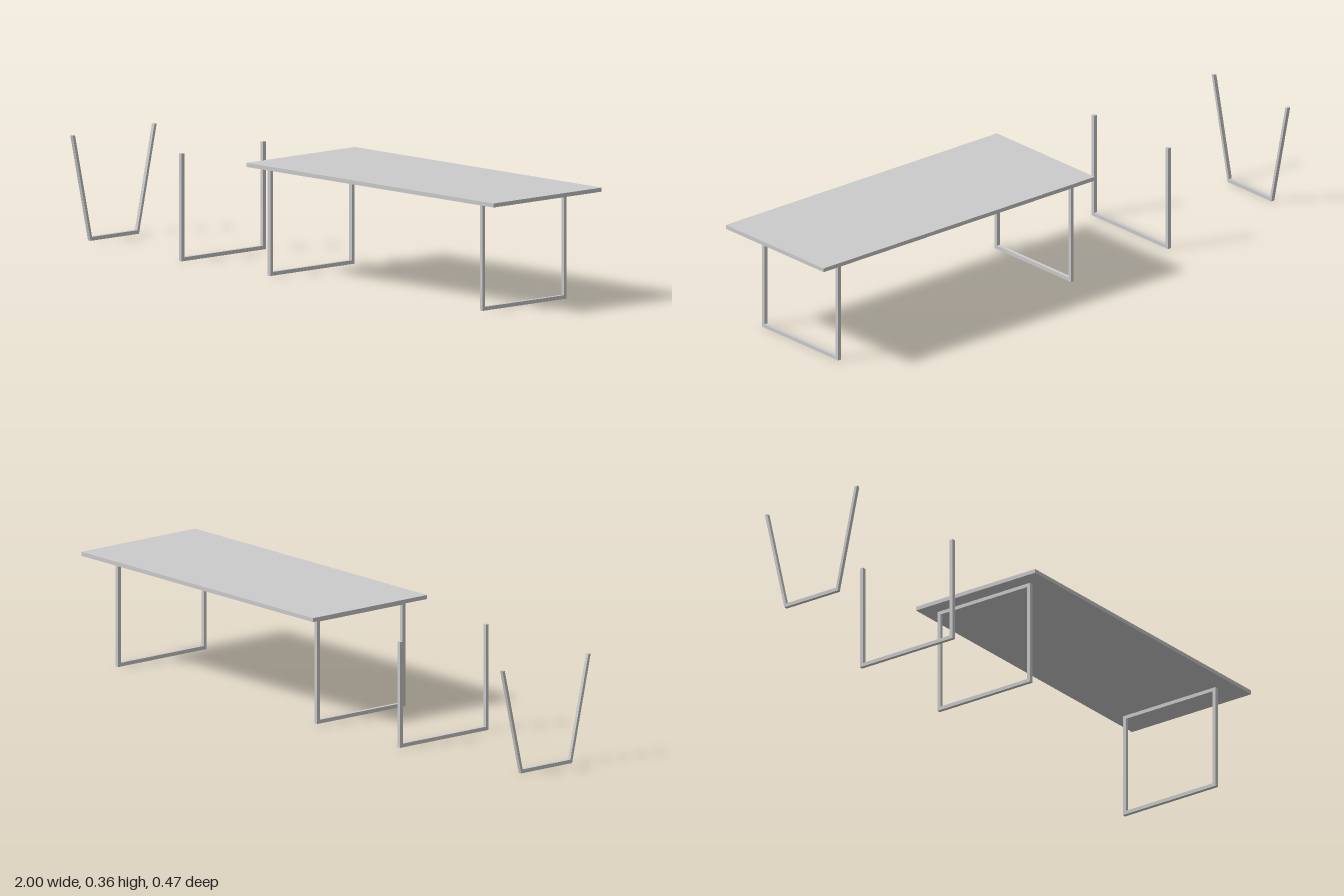
import * as THREE from 'three';

const BAR = 0.012;      // square tube size
const HEIGHT = 0.344;   // leg frame height
const HALF = 0.183;     // half of the frame depth

const material = new THREE.MeshStandardMaterial({ color: 0xcccccc, flatShading: true });

const toPoints = (pairs) => pairs.map(([a, b]) => new THREE.Vector2(a, b));

// Extrudes a symmetric z-y outline along x, centred on the given x
function legFrame(name, x, outline, hole) {
  const shape = new THREE.Shape(toPoints(outline));
  if (hole) shape.holes.push(new THREE.Path(toPoints(hole)));
  const geometry = new THREE.ExtrudeGeometry(shape, { depth: BAR, bevelEnabled: false });
  geometry.translate(0, 0, -BAR / 2).rotateY(Math.PI / 2);
  const mesh = new THREE.Mesh(geometry, material);
  mesh.name = name;
  mesh.position.x = x;
  return mesh;
}

const rectangle = (half, bottom, top) => [[-half, bottom], [half, bottom], [half, top], [-half, top]];

// Open-topped frame: outer and inner half widths at the floor and at the top
function openOutline(outerBottom, outerTop, innerBottom, innerTop) {
  const right = [[outerBottom, 0], [outerTop, HEIGHT], [innerTop, HEIGHT], [innerBottom, BAR]];
  const left = right.map(([a, b]) => [-a, b]).reverse();
  return [...right, ...left];
}

export function createModel() {
  const model = new THREE.Group();
  model.name = 'tableWithLegOptions';

  // Table top, floating just above its leg frames
  const top = new THREE.Mesh(new THREE.BoxGeometry(1.135, 0.013, 0.47), material);
  top.name = 'tableTop';
  top.position.set(0.4325, 0.3545, 0);
  model.add(top);

  // Closed rectangular leg frames under the top
  [['rightTableLeg', -0.086], ['leftTableLeg', 0.888]].forEach(([name, x]) => {
    model.add(legFrame(name, x, rectangle(HALF, 0, HEIGHT), rectangle(HALF - BAR, BAR, HEIGHT - BAR)));
  });

  // Separate leg options: straight U and splayed V
  model.add(legFrame('straightSpareLeg', -0.493, openOutline(HALF, HALF, HALF - BAR, HALF - BAR)));
  model.add(legFrame('splayedSpareLeg', -0.994, openOutline(0.105, 0.182, 0.0985, 0.1725)));

  return model;
}
